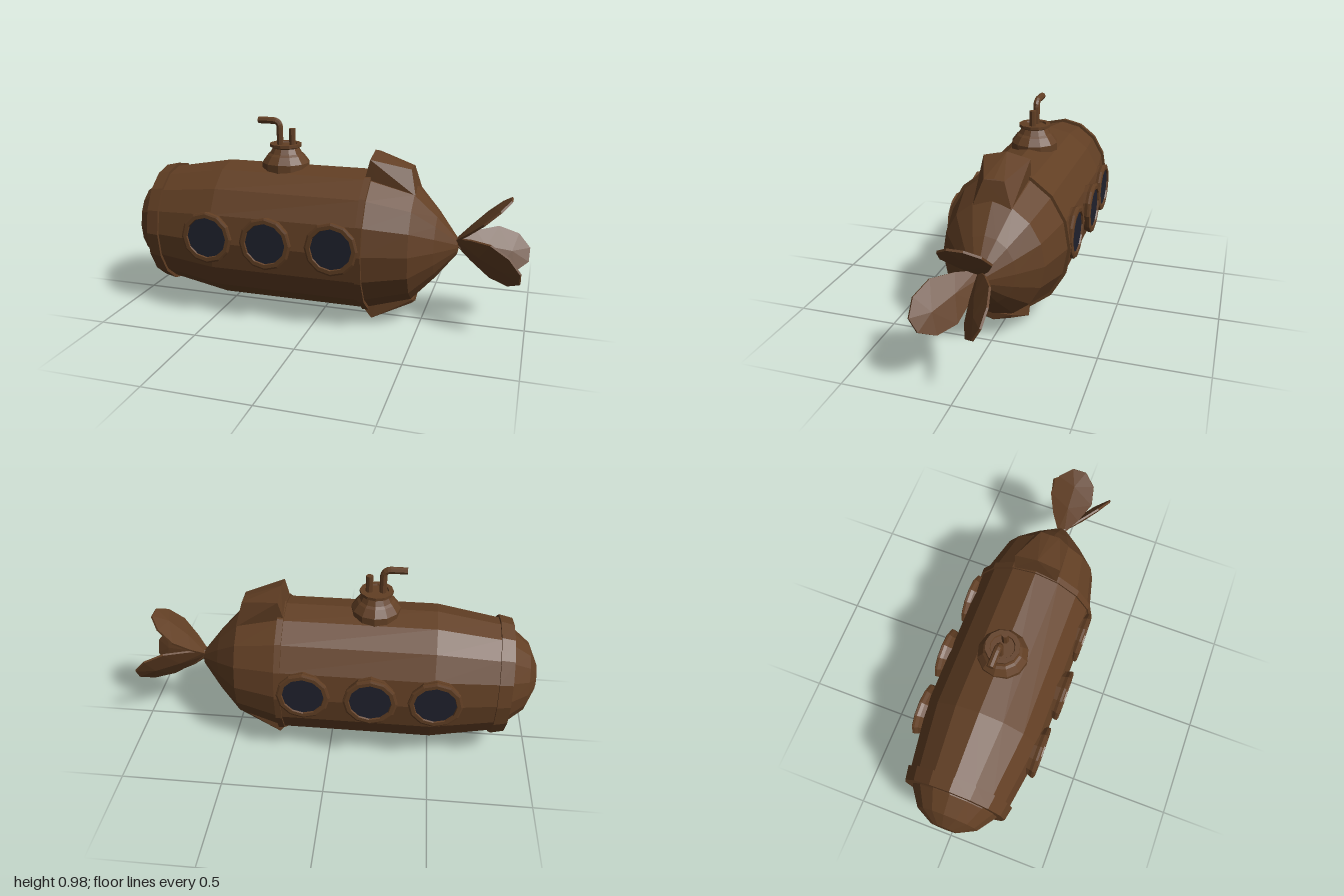
import * as THREE from 'three';
import { ConvexGeometry } from 'three/addons/geometries/ConvexGeometry.js';

const V = (x, y, z) => new THREE.Vector3(x, y, z);

export function createModel() {
  const model = new THREE.Group();
  const brown = new THREE.MeshStandardMaterial({ color: 0x623f24, flatShading: true });
  brown.name = 'brownMetal';
  const glass = new THREE.MeshStandardMaterial({ color: 0x20222e, flatShading: true });
  glass.name = 'darkGlass';

  function add(name, geometry, material = brown, parent = model) {
    const mesh = new THREE.Mesh(geometry, material);
    mesh.name = name;
    parent.add(mesh);
    return mesh;
  }
  const lathe = (points, sides) =>
    new THREE.LatheGeometry(points.map(([r, h]) => new THREE.Vector2(r, h)), sides);

  // Hull sections: [half height, x], oval in cross-section and lying along x
  const hullY = 0.405;
  function hullPart(name, points) {
    const g = lathe(points, 16);
    g.rotateZ(-Math.PI / 2);
    g.scale(1, 1, 0.855);
    g.translate(0, hullY, 0);
    add(name, g);
  }
  hullPart('noseDome', [[0, -1], [0.075, -1], [0.178, -0.955], [0.25, -0.87], [0.26, -0.82]]);
  hullPart('noseBand', [[0.24, -0.865], [0.298, -0.865], [0.313, -0.8], [0.28, -0.8]]);
  hullPart('body', [[0.28, -0.82], [0.297, -0.8], [0.35, -0.5], [0.35, 0.24]]);
  hullPart('tailBand', [[0.33, 0.225], [0.36, 0.225], [0.36, 0.255], [0.33, 0.255]]);
  hullPart('tailCone', [[0.345, 0.25], [0.282, 0.46], [0.165, 0.565], [0.04, 0.66], [0, 0.668]]);

  // Portholes, three on each side
  for (const side of [1, -1]) {
    for (const [x, z] of [[-0.51, 0.315], [-0.205, 0.325], [0.115, 0.312]]) {
      const porthole = new THREE.Group();
      porthole.name = side > 0 ? 'leftPorthole' : 'rightPorthole';
      const rim = lathe([[0.112, -0.09], [0.122, -0.03], [0.129, -0.015], [0.129, -0.004],
        [0.12, 0], [0.102, 0], [0.098, -0.012]], 12);
      rim.rotateX(Math.PI / 2);
      add('portholeRim', rim, brown, porthole);
      add('portholeGlass', new THREE.CircleGeometry(0.1, 24), glass, porthole).position.z = -0.008;
      porthole.position.set(x, 0.432, side * z);
      porthole.rotation.y = side > 0 ? 0 : Math.PI;
      model.add(porthole);
    }
  }

  // Tower with its hatch flange
  const tower = add('tower', lathe([[0.118, 0.7], [0.118, 0.765], [0.092, 0.8], [0.08, 0.81],
    [0.066, 0.835], [0.08, 0.842], [0.08, 0.856], [0.058, 0.856], [0.055, 0.848], [0, 0.848]], 12));
  tower.position.x = -0.205;

  // Periscope and short vent pipe
  const bend = new THREE.CurvePath();
  bend.add(new THREE.LineCurve3(V(-0.235, 0.83, 0), V(-0.235, 0.93, 0)));
  bend.add(new THREE.QuadraticBezierCurve3(V(-0.235, 0.93, 0), V(-0.235, 0.965, 0), V(-0.27, 0.965, 0)));
  bend.add(new THREE.LineCurve3(V(-0.27, 0.965, 0), V(-0.345, 0.965, 0)));
  add('periscope', new THREE.TubeGeometry(bend, 18, 0.017, 8));
  const lens = add('periscopeEnd', new THREE.CircleGeometry(0.017, 8));
  lens.position.set(-0.345, 0.965, 0);
  lens.rotation.y = -Math.PI / 2;
  add('ventPipe', new THREE.CylinderGeometry(0.017, 0.017, 0.1, 8)).position.set(-0.17, 0.88, 0);

  // Wedge fins above and below the tail; each point is mirrored in z
  function fin(name, points) {
    const corners = points.flatMap(([x, y, z]) => [V(x, y, z), V(x, y, -z)]);
    add(name, new ConvexGeometry(corners));
  }
  fin('topFin', [[0.228, 0.74, 0.108], [0.25, 0.824, 0.112], [0.25, 0.85, 0],
    [0.435, 0.776, 0.048], [0.43, 0.782, 0], [0.465, 0.66, 0.09], [0.3, 0.66, 0.1]]);
  fin('bottomFin', [[0.235, 0.068, 0.108], [0.27, 0.028, 0.112], [0.27, 0.006, 0],
    [0.465, 0.122, 0.085], [0.468, 0.1, 0], [0.47, 0.14, 0.09], [0.3, 0.15, 0.1]]);

  // Propeller blades: outline [along, half width] with a raised middle
  const outline = [[0, 0.018], [0.25, 0.07], [0.55, 0.113], [0.83, 0.095], [1, 0.035]];
  function blade(tip, across) {
    const root = V(0.65, 0.43, 0);
    const along = tip.clone().sub(root);
    const wide = across.clone().addScaledVector(along, -across.dot(along) / along.lengthSq()).normalize();
    const normal = along.clone().cross(wide).normalize();
    const at = (t, w, h) => root.clone().addScaledVector(along, t).addScaledVector(wide, w).addScaledVector(normal, h);
    const points = [];
    for (const s of [1, -1]) {
      for (const [t, w] of outline) points.push(at(t, s * w, 0.005), at(t, s * w, -0.005));
      points.push(at(0.4, 0, s * 0.017), at(0.75, 0, s * 0.017));
    }
    add('propellerBlade', new ConvexGeometry(points));
  }
  blade(V(0.9, 0.655, 0), V(0, 0, 1));
  blade(V(0.965, 0.33, 0.165), V(0, 0.87, 0.5));
  blade(V(0.992, 0.355, -0.115), V(0, 0.87, -0.5));

  return model;
}
